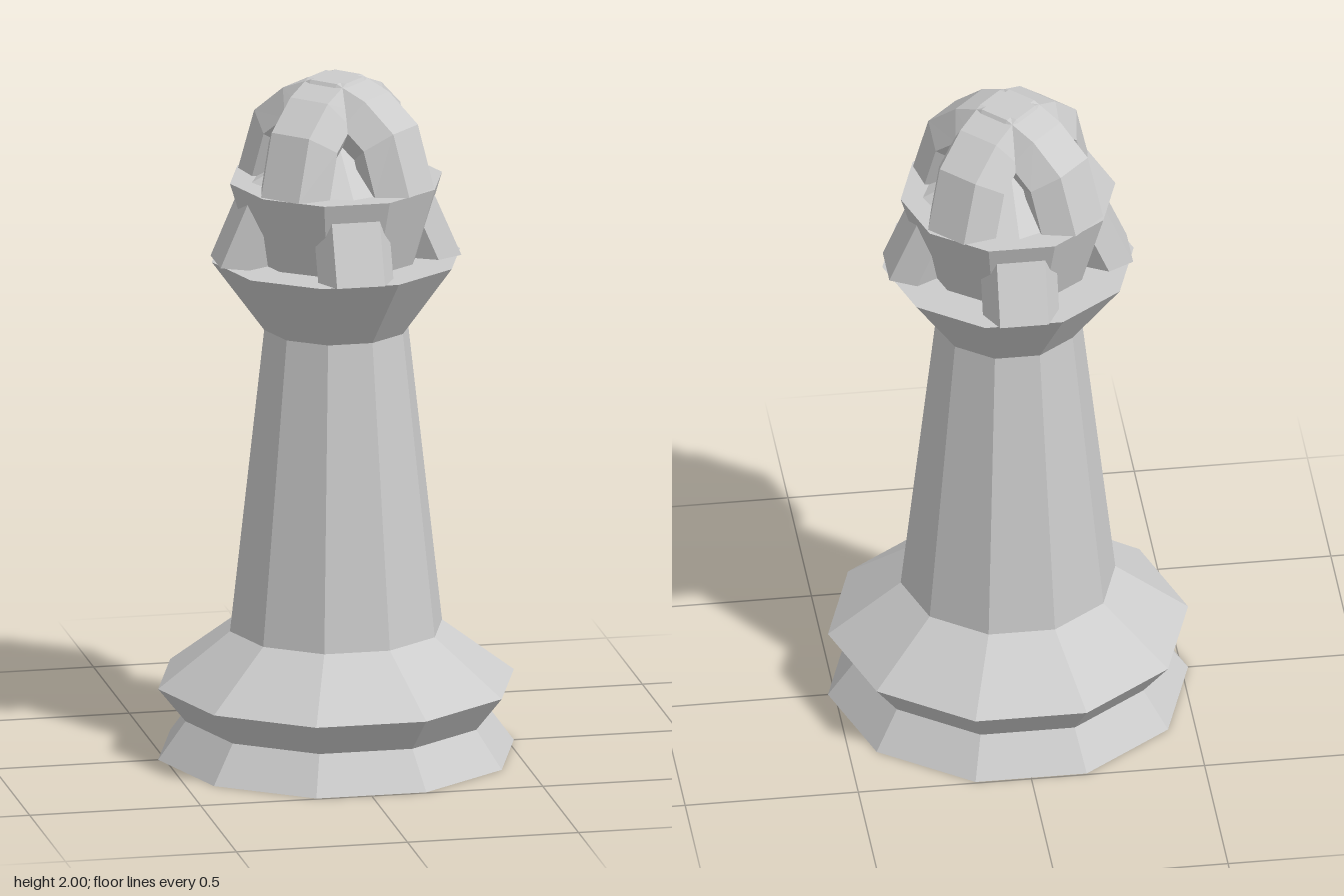
import * as THREE from 'three';

const material = new THREE.MeshStandardMaterial({ color: 0xcccccc, flatShading: true });

function addMesh(parent, name, geometry) {
  const mesh = new THREE.Mesh(geometry, material);
  mesh.name = name;
  parent.add(mesh);
  return mesh;
}

// Ten-sided turned solid with a corner on the x axis
function turned(profile) {
  const points = profile.map(([r, y]) => new THREE.Vector2(r, y));
  return new THREE.LatheGeometry(points, 10, Math.PI / 2).toNonIndexed();
}

// Hexagonal bar: path entries are [outer distance, height, angle of the outward direction in degrees]
function hexBar(path, thickness, flatHalf, cornerHalf) {
  const section = [
    [0, -flatHalf], [0, flatHalf], [thickness / 2, cornerHalf],
    [thickness, flatHalf], [thickness, -flatHalf], [thickness / 2, -cornerHalf],
  ];
  const positions = [];
  const index = [];
  path.forEach(([d, y, degrees], i) => {
    const angle = THREE.MathUtils.degToRad(degrees);
    section.forEach(([depth, w], j) => {
      positions.push(d - depth * Math.cos(angle), y - depth * Math.sin(angle), w);
      if (i === path.length - 1) return;
      const a = i * 6 + j;
      const b = i * 6 + (j + 1) % 6;
      index.push(a, a + 6, b, b, a + 6, b + 6);
    });
  });
  const geometry = new THREE.BufferGeometry();
  geometry.setAttribute('position', new THREE.Float32BufferAttribute(positions, 3));
  geometry.setIndex(index);
  const flat = geometry.toNonIndexed();
  flat.computeVertexNormals();
  return flat;
}

export function createModel() {
  const model = new THREE.Group();
  model.name = 'chessPiece';

  // Stepped base, tapering column and flared ledge
  addMesh(model, 'base', turned([[0, 0], [0.52, 0], [0.44, 0.11], [0.52, 0.21], [0.31, 0.37]]));
  addMesh(model, 'column', turned([[0.31, 0.37], [0.21, 1.26]]));
  addMesh(model, 'ledge', turned([[0.21, 1.26], [0.363, 1.47], [0, 1.47]]));

  // Crown band with its flat top
  addMesh(model, 'crownBand', turned([[0.24, 1.47], [0.31, 1.7], [0, 1.7]]));

  // Four leaning posts around the band
  const post = hexBar([[0.352, 1.47, 0], [0.262, 1.68, 0]], 0.15, 0.07, 0.11);
  for (let i = 0; i < 4; i++) {
    addMesh(model, 'crownPost', post).rotation.y = i * Math.PI / 2;
  }

  // Low eight-sided cap inside the arches
  const cap = new THREE.ConeGeometry(0.246, 0.13, 8, 1, true);
  addMesh(model, 'innerCap', cap).position.y = 1.765;

  // Two crossing arches
  const half = [[0.293, 1.7, 0], [0.238, 1.88, 36], [0.14, 1.962, 60], [0.045, 2, 82]];
  const otherHalf = half.map(([d, y, a]) => [-d, y, 180 - a]).reverse();
  const arch = hexBar([...half, ...otherHalf], 0.165, 0.064, 0.117);
  for (const turn of [1, -1]) {
    addMesh(model, 'crownArch', arch).rotation.y = turn * Math.PI / 4;
  }

  return model;
}
